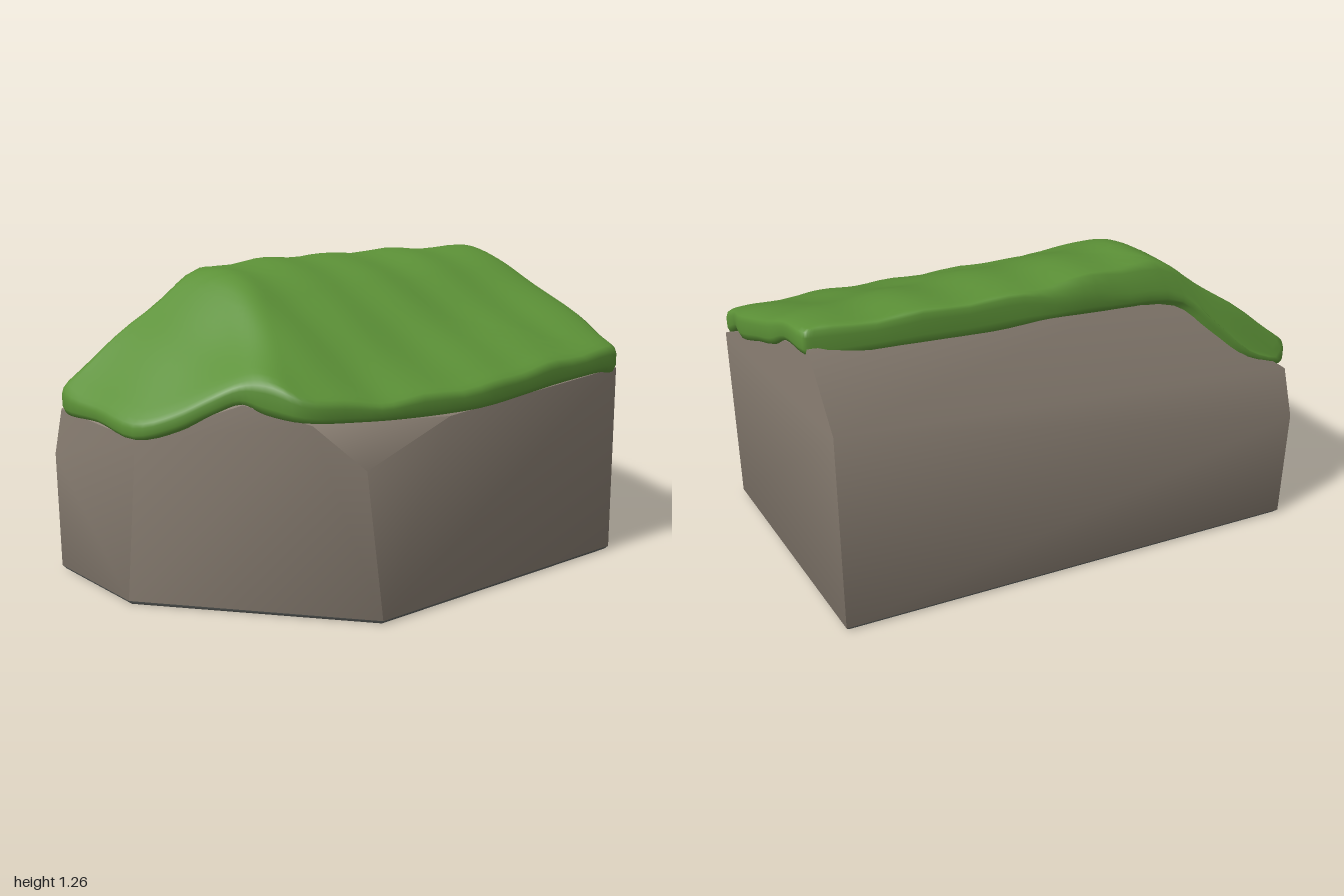
import * as THREE from 'three';
import { ConvexGeometry } from 'three/addons/geometries/ConvexGeometry.js';
import { toCreasedNormals } from 'three/addons/utils/BufferGeometryUtils.js';

const rockMaterial = new THREE.MeshStandardMaterial({ color: 0x8a7f73 });
rockMaterial.name = 'stone';
const baseMaterial = new THREE.MeshStandardMaterial({ color: 0x626562 });
baseMaterial.name = 'darkStone';
const grassMaterial = new THREE.MeshStandardMaterial({ color: 0x5c9137, side: THREE.DoubleSide });
grassMaterial.name = 'grass';

// Faceted boulder: footprint with a small bottom bevel, plus the upper corners
function rockGeometry() {
  const foot = [[-0.97, -0.665], [0.975, -0.43], [0.975, 0.655], [-0.34, 0.655], [-0.97, -0.14]];
  const points = [
    [-0.97, 0.5, -0.675], [-0.97, 0.69, -0.05], [-0.965, 0.7, -0.615], [-0.8, 0.8, -0.575],
    [0.975, 0.9, -0.44], [0.975, 1.17, -0.26], [0.975, 1.08, 0.03], [0.975, 0.93, 0.4], [0.975, 0.81, 0.65],
    [0.0, 0.76, 0.65], [-0.42, 0.62, 0.65], [-0.57, 0.79, 0.52],
    [-0.72, 0.85, 0.3], [-0.42, 1.12, -0.42], [-0.45, 1.09, -0.15],
  ];
  for (const [x, z] of foot) {
    points.push([x * 0.988, 0, z * 0.982], [x, 0.014, z]);
  }
  const hull = new ConvexGeometry(points.map((p) => new THREE.Vector3(...p)));
  const geometry = toCreasedNormals(hull, 0.75);
  // Underside and bevel take the second material
  const position = geometry.attributes.position;
  for (let i = 0; i < position.count; i += 3) {
    const highest = Math.max(position.getY(i), position.getY(i + 1), position.getY(i + 2));
    geometry.addGroup(i, 3, highest < 0.02 ? 1 : 0);
  }
  return geometry;
}

// Minimum of two heights with a rounded fold of width k
function softMin(a, b, k) {
  const h = Math.max(k - Math.abs(a - b), 0) / k;
  return Math.min(a, b) - h * h * k * 0.25;
}

// Height of the grass: front slope sagging to the left, flat ridge, left slope and back drop
function grassTop(x, z) {
  const { clamp } = THREE.MathUtils;
  const sag = 0.09 * clamp((0.8 - x) / 1.1, 0, 1) * clamp((z + 0.2) / 0.8, 0, 1);
  const ridge = softMin(1.25, 1.185 - 0.42 * z - sag, 0.08);
  const left = 0.8 + 0.82 * (x + 0.97) - 0.13 * (z + 0.35);
  const back = 1.17 + 3 * (z + 0.455);
  const y = softMin(softMin(ridge, left, 0.06), back, 0.04);
  return y + 0.006 * Math.sin(7 * x + 3 * z) * Math.cos(9 * z - 4 * x) + 0.006 * Math.sin(19 * x + 3.5);
}

// Grass mat: rings from the centre out to a drooping rim that tucks under
function grassGeometry() {
  // Rim as x, lower edge height, z
  const rim = [
    [0.96, 0.8, 0.66], [0.9, 0.81, 0.67], [0.6, 0.8, 0.67], [0.4, 0.785, 0.67], [0.15, 0.77, 0.67],
    [-0.2, 0.775, 0.62], [-0.4, 0.785, 0.575], [-0.6, 0.8, 0.5], [-0.68, 0.82, 0.38], [-0.73, 0.85, 0.29],
    [-0.8, 0.81, 0.21], [-0.89, 0.74, 0.1], [-0.98, 0.69, -0.05], [-0.99, 0.71, -0.3], [-1.0, 0.7, -0.52],
    [-0.97, 0.71, -0.585], [-0.8, 0.79, -0.585], [-0.66, 0.93, -0.535], [-0.52, 1.06, -0.48],
    [-0.2, 1.11, -0.455], [0.05, 1.13, -0.44], [0.3, 1.12, -0.395], [0.65, 1.13, -0.335],
    [0.95, 1.13, -0.26], [0.985, 1.14, -0.24], [0.99, 1.12, -0.07], [1.0, 1.05, 0.05], [1.0, 0.99, 0.2],
    [1.0, 0.91, 0.4], [0.985, 0.905, 0.48], [0.965, 0.86, 0.57],
  ].map((p) => new THREE.Vector3(...p));
  const curve = new THREE.CatmullRomCurve3(rim, true, 'centripetal');
  const n = 124;
  const edge = Array.from({ length: n }, (_, i) => curve.getPoint(i / n));
  // Ring scale and droop: 0 lies on the top, 1 on the lower edge
  const rings = [];
  for (let i = 1; i <= 26; i++) rings.push([0.036 * i, 0]);
  rings.push([0.975, 0.02], [0.993, 0.1], [1, 0.3], [1, 0.75], [0.99, 1], [0.9, 1.2]);

  const positions = [0, grassTop(0, 0), 0];
  const index = [];
  rings.forEach(([s, droop], r) => {
    edge.forEach((p, i) => {
      const x = p.x * s, z = p.z * s;
      const top = Math.max(grassTop(x, z), droop > 0 ? p.y + 0.03 : 0);
      positions.push(x, top + (p.y - top) * droop, z);
      const a = 1 + r * n + i, b = 1 + r * n + ((i + 1) % n);
      if (r === 0) index.push(0, b, a);
      else index.push(a - n, b - n, a, b - n, b, a);
    });
  });
  const geometry = new THREE.BufferGeometry();
  geometry.setAttribute('position', new THREE.Float32BufferAttribute(positions, 3));
  geometry.setIndex(index);
  geometry.computeVertexNormals();
  return geometry;
}

export function createModel() {
  const model = new THREE.Group();
  model.name = 'grassyBoulder';
  const rock = new THREE.Mesh(rockGeometry(), [rockMaterial, baseMaterial]);
  rock.name = 'rock';
  const grass = new THREE.Mesh(grassGeometry(), grassMaterial);
  grass.name = 'grassTop';
  model.add(rock, grass);
  return model;
}
